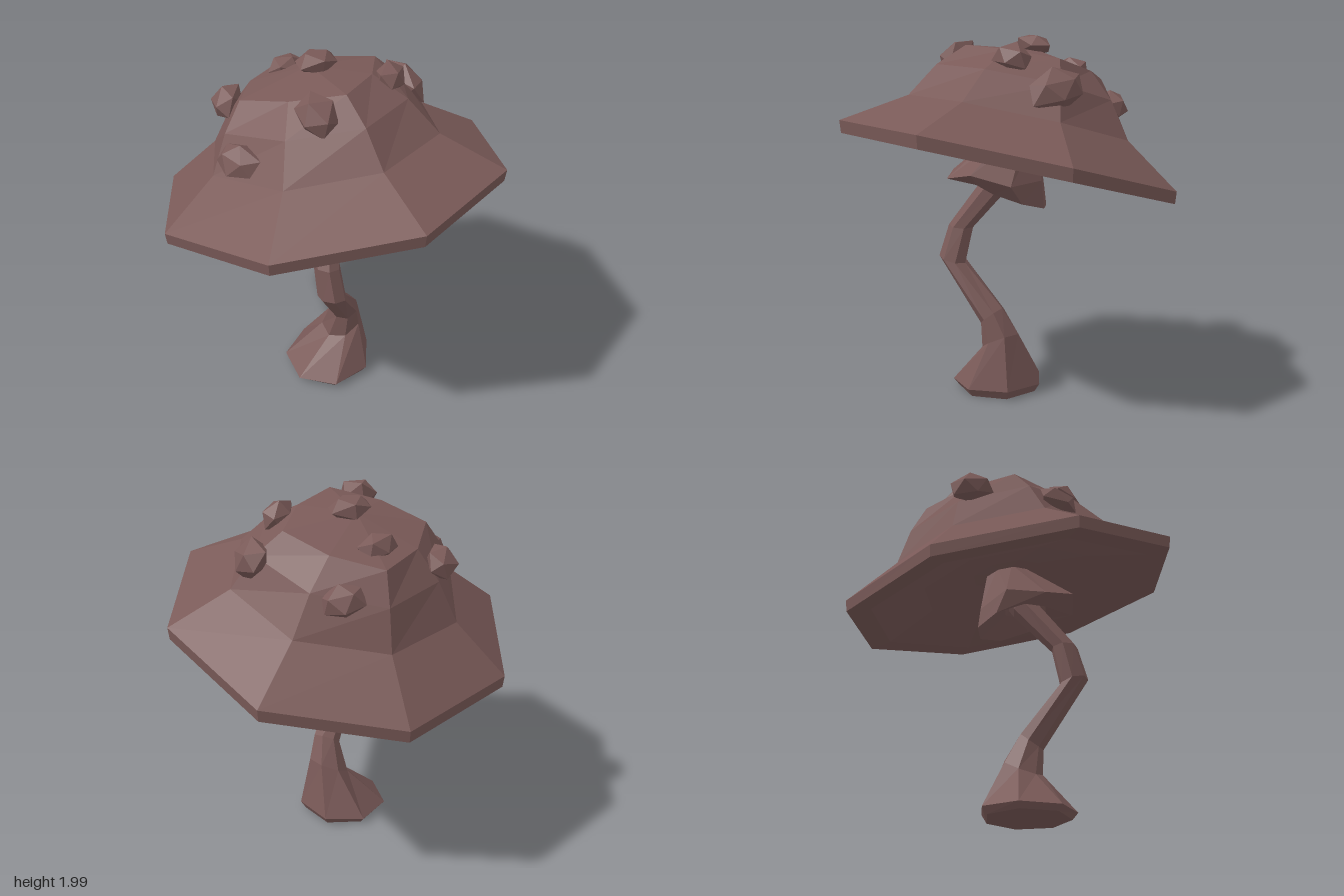
import * as THREE from 'three';

const brown = new THREE.MeshStandardMaterial({ color: 0x7a5a58, flatShading: true });
brown.name = 'dusty brown';

// Skin over tilted rings [cx, cy, cz, radius, slopeX, slopeZ, cornerScale], listed from inside/bottom to top
function loft(name, rings, sides, { phase = 0, zigzag = () => 0 } = {}) {
  const pos = [], index = [];
  rings.forEach(([cx, cy, cz, r, sx = 0, sz = 0, corner = 1], i) => {
    for (let j = 0; j < sides; j++) {
      const a = phase + (j / sides) * Math.PI * 2;
      const radius = j % 2 ? r * corner : r;
      const dx = radius * Math.cos(a) / Math.hypot(1, sx);
      const dz = radius * Math.sin(a) / Math.hypot(1, sz);
      pos.push(cx + dx, cy + sx * dx + sz * dz + zigzag(i, j), cz + dz);
      if (i === rings.length - 1) continue;
      const p = i * sides + j, q = i * sides + (j + 1) % sides;
      index.push(p, p + sides, q, q, p + sides, q + sides);
    }
  });
  const geo = new THREE.BufferGeometry();
  geo.setAttribute('position', new THREE.Float32BufferAttribute(pos, 3));
  geo.setIndex(index);
  const flat = geo.toNonIndexed();
  flat.computeVertexNormals();
  const mesh = new THREE.Mesh(flat, brown);
  mesh.name = name;
  return mesh;
}

// Irregular faceted pebble, flattened and leaning along the cap surface
function wart(x, y, z, sx, sy, sz, turn, seed) {
  const geo = new THREE.IcosahedronGeometry(1.1, 0);
  const p = geo.attributes.position, v = new THREE.Vector3();
  for (let i = 0; i < p.count; i++) {
    v.fromBufferAttribute(p, i);
    const k = 1 + 0.1 * Math.sin(v.x * 5 + v.y * 7 + v.z * 9 + seed * 2);
    p.setXYZ(i, v.x * k, v.y * k, v.z * k);
  }
  geo.computeVertexNormals();
  const mesh = new THREE.Mesh(geo, brown);
  mesh.name = 'wart';
  mesh.scale.set(sx, sy, sz);
  mesh.position.set(x, y, z);
  const up = new THREE.Vector3(0, 1, 0);
  const out = new THREE.Vector3(x + 0.1, 0.35, z + 0.07).normalize();
  mesh.quaternion.setFromUnitVectors(up, out)
    .multiply(new THREE.Quaternion().setFromAxisAngle(up, turn));
  return mesh;
}

export function createModel() {
  const model = new THREE.Group();
  model.name = 'mushroom';

  // Tilted eight-sided cap: shallow underside, flat lip, rim, slope, squarish crown
  const tx = 0.217, tz = 0.127;
  model.add(loft('cap', [
    [-0.03, 1.44, -0.02, 0, tx, tz],
    [-0.03, 1.43, -0.02, 0.2, tx, tz],
    [-0.02, 1.37, -0.01, 0.5, tx, tz],
    [0, 1.27, 0, 0.81, tx, tz],
    [0, 1.265, 0, 0.94, tx, tz],
    [0, 1.33, 0, 0.947, tx, tz],
    [-0.045, 1.53, -0.03, 0.63, tx, tz],
    [-0.085, 1.715, -0.055, 0.49, tx, tz, 1.06],
    [-0.125, 1.845, -0.075, 0.335, tx, tz, 1.18],
    [-0.125, 1.915, -0.075, 0, tx, tz],
  ], 8));

  // Ragged collar under the cap, folding back inward to the stem
  model.add(loft('collar', [
    [0.02, 1.3, 0.04, 0, 0.15, 0.3],
    [0.02, 1.22, 0.05, 0.1, 0.15, 0.3],
    [-0.01, 1.12, 0.01, 0.21, 0.15, 0.3],
    [0.04, 1.215, 0.08, 0.28, 0.1, 0.05],
    [0.0, 1.46, -0.04, 0.11, 0.2, 0.12],
  ], 8, { zigzag: (i, j) => (i === 3 ? (j % 2 ? -0.02 : 0.02) : 0) }));

  // Crooked stem with a flared foot
  model.add(loft('stem', [
    [0.02, 0.005, 0.08, 0],
    [0.02, 0.005, 0.08, 0.23],
    [0.02, 0.045, 0.08, 0.26, 0.03, -0.03],
    [0.085, 0.3, 0.025, 0.118, 0.2, -0.5],
    [0.115, 0.45, 0.065, 0.078, 0, -0.8],
    [0.115, 0.75, 0.32, 0.08, 0, 0.25],
    [0.075, 0.94, 0.285, 0.073, -0.1, 0.1],
    [0.02, 1.2, 0.08, 0.08, -0.1, 0.4],
    [0.0, 1.32, 0.0, 0.08, -0.1, 0.4],
  ], 7, { phase: 0.2 }));

  // Warts scattered over the crown
  const warts = new THREE.Group();
  warts.name = 'warts';
  [
    [-0.23, 1.62, -0.49, 0.11, 0.07, 0.08, 0.6],
    [0.3, 1.72, -0.41, 0.145, 0.08, 0.1, -0.65],
    [-0.3, 1.81, -0.22, 0.1, 0.06, 0.075, 1.2],
    [0.28, 1.87, -0.15, 0.105, 0.07, 0.075, 1.5],
    [-0.09, 1.94, -0.08, 0.115, 0.06, 0.085, 0.8],
    [-0.55, 1.69, 0.01, 0.085, 0.07, 0.12, 0.1],
    [0.04, 1.87, 0.32, 0.11, 0.08, 0.095, -0.5],
    [-0.33, 1.62, 0.43, 0.125, 0.065, 0.085, -0.5],
  ].forEach((w, i) => warts.add(wart(...w, i)));
  model.add(warts);
  return model;
}
